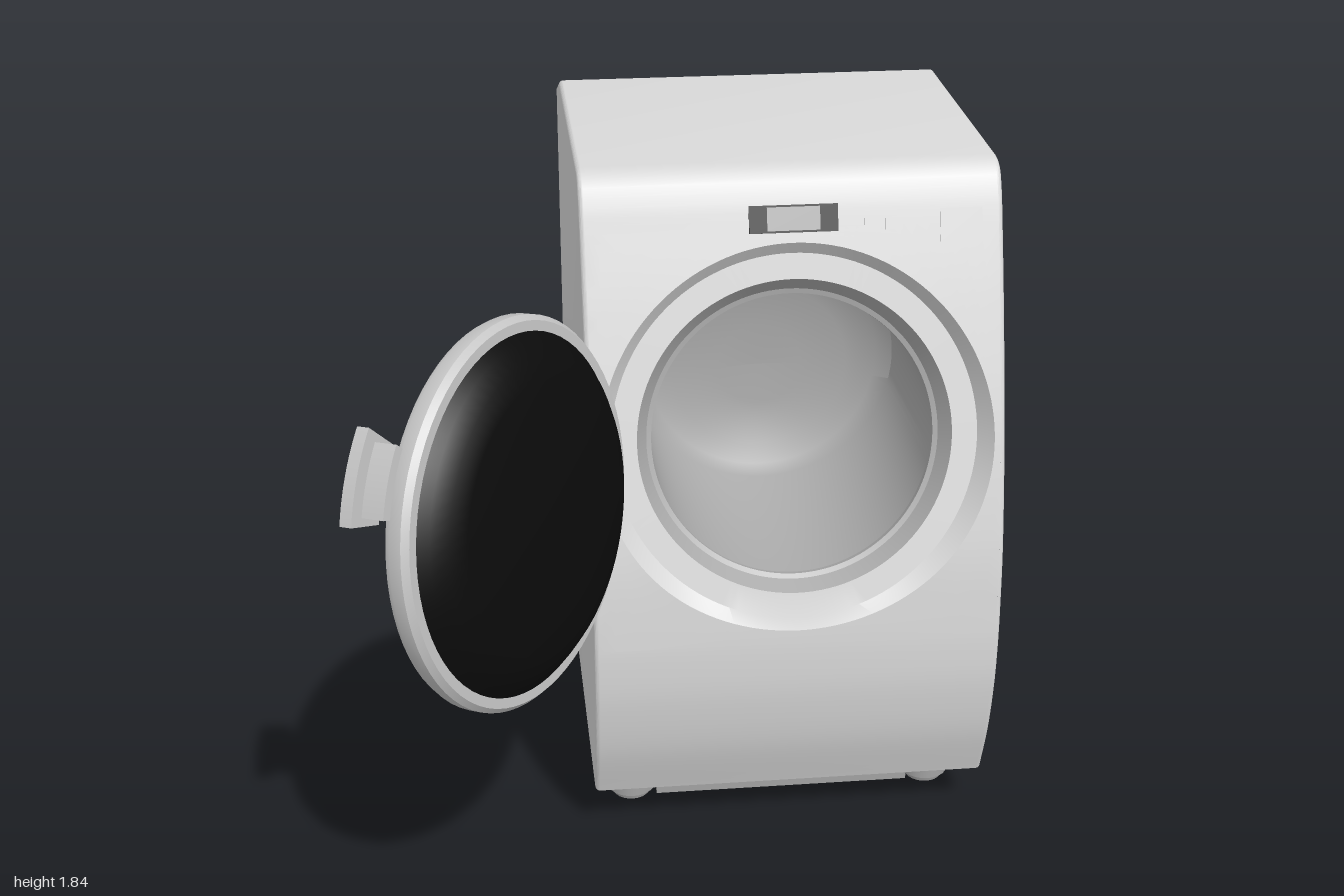
import * as THREE from 'three';
import { mergeGeometries, toCreasedNormals } from 'three/addons/utils/BufferGeometryUtils.js';

const CX = 0.2825;          // cabinet centre in x
const HALF = 0.53;          // half width of the cabinet without its rounded edge
const BEVEL = 0.0125;
const MID = 1.17;           // height of the door opening
const TILT = 0.28;          // backward lean of the opening
const N = 128;

const material = (name, color) => {
  const m = new THREE.MeshStandardMaterial({ color });
  m.name = name;
  return m;
};

function add(parent, name, geometry, mat, x = 0, y = 0, z = 0) {
  const mesh = new THREE.Mesh(geometry, mat);
  mesh.name = name;
  mesh.position.set(x, y, z);
  parent.add(mesh);
  return mesh;
}

// Front face: depth z at height y
const frontCurve = new THREE.SplineCurve([
  [0.14, 0.22], [0.3, 0.275], [0.45, 0.303], [0.57, 0.31], [0.7, 0.304], [0.9, 0.279],
  [1.2, 0.207], [1.5, 0.11], [1.7, 0.037], [1.78, 0.005],
].map(([y, z]) => new THREE.Vector2(y, z))).getPoints(200);

function frontZ(y) {
  let i = 1;
  while (i < frontCurve.length - 1 && frontCurve[i].x < y) i++;
  const a = frontCurve[i - 1], b = frontCurve[i];
  return a.y + (b.y - a.y) * (y - a.x) / (b.x - a.x);
}

// Closed loop of points from a rule of the angle
const loop = (rule) => Array.from({ length: N }, (_, i) => {
  const a = i / N * Math.PI * 2;
  return rule(Math.cos(a), Math.sin(a));
});

// Circle that leans back by the given angle
const circle = (r, y, z, tilt = 0) => loop((c, s) =>
  [CX + r * c, y + r * s * Math.cos(tilt), z - r * s * Math.sin(tilt)]);

// Skin between loops, listed from outside to inside
function loft(loops) {
  const index = [];
  for (let j = 0; j < loops.length - 1; j++) {
    for (let i = 0; i < N; i++) {
      const a = j * N + i, b = j * N + (i + 1) % N;
      index.push(a, b, a + N, b, b + N, a + N);
    }
  }
  const g = new THREE.BufferGeometry();
  g.setAttribute('position', new THREE.Float32BufferAttribute(loops.flat(2), 3));
  g.setIndex(index);
  return g.toNonIndexed();
}

// Point on the front panel: t = 0 on its square border, t = 1 on the round opening
const panelLoop = (t) => loop((c, s) => {
  const k = HALF / Math.max(Math.abs(c), Math.abs(s));
  const x = THREE.MathUtils.lerp(k * c, 0.514 * c, t);
  const y = MID + THREE.MathUtils.lerp(k * s, 0.495 * s, t);
  return [CX + x, y, frontZ(y)];
});

function cabinetGeometry() {
  // Side profile, extruded across the width
  const pts = [];
  for (let i = 0; i <= 81; i++) {
    const y = 0.14 + i * 0.02;
    pts.push([frontZ(y), y]);
  }
  pts.push([0, 1.785], [-0.012, 1.806], [-0.028, 1.823], [-0.05, 1.835], [-0.08, 1.84],
    [-0.85, 1.84], [-1, 1.78], [-1, 0.37], [-0.875, 0.3], [-0.875, 0.14]);
  const shell = new THREE.ExtrudeGeometry(new THREE.Shape(pts.map((p) => new THREE.Vector2(...p))), {
    depth: HALF * 2, bevelEnabled: true, bevelSize: BEVEL, bevelOffset: -BEVEL,
    bevelThickness: BEVEL, bevelSegments: 5,
  });
  shell.rotateY(-Math.PI / 2).translate(HALF, 0, 0);

  // Leave out the square that holds the round opening
  const p = shell.attributes.position, kept = [];
  for (let i = 0; i < p.count; i += 3) {
    const corners = [i, i + 1, i + 2];
    const inSquare = corners.every((v) => Math.abs(p.getX(v)) < HALF + 1e-4 && p.getZ(v) > 0
      && Math.abs(p.getY(v) - MID) < HALF + 1e-4);
    if (!inSquare) for (const v of corners) kept.push(p.getX(v) + CX, p.getY(v), p.getZ(v));
  }
  const rest = new THREE.BufferGeometry();
  rest.setAttribute('position', new THREE.Float32BufferAttribute(kept, 3));
  const panel = loft([0, 0.25, 0.5, 0.75, 1].map(panelLoop));
  return toCreasedNormals(mergeGeometries([rest, panel]), 0.37);
}

// Lathe whose axis points along z
const turned = (profile) => toCreasedNormals(
  new THREE.LatheGeometry(profile.map((q) => new THREE.Vector2(...q)), 72).rotateX(Math.PI / 2), 0.5);

// Curved bar along the door rim
function arcBar(r0, r1, from, to, z, depth) {
  const s = new THREE.Shape();
  s.absarc(0, 0, r1, from, to, false);
  s.absarc(0, 0, r0, to, from, true);
  return new THREE.ExtrudeGeometry(s, { depth, bevelEnabled: false, curveSegments: 12 }).translate(0, 0, z);
}

export function createModel() {
  const model = new THREE.Group();
  model.name = 'washingMachine';
  const white = material('cabinetGrey', 0xd8d8d8);
  const rimGrey = material('rimGrey', 0xc6c6c6);
  const drumGrey = material('drumGrey', 0xacacac);
  const baseGrey = material('baseGrey', 0xa2a2a2);
  const black = material('blackGlass', 0x0b0b0b);

  add(model, 'cabinet', cabinetGeometry(), white);

  // Recessed seat around the opening
  const sin = Math.sin(TILT), cos = Math.cos(TILT);
  const leaning = (r, depth) => circle(r, 1.168 - depth * sin, 0.16 - depth * cos, TILT);
  add(model, 'openingRecess', toCreasedNormals(
    loft([panelLoop(1), leaning(0.48, 0), leaning(0.413, 0)]), 0.3), white);
  add(model, 'openingSeal', toCreasedNormals(
    loft([leaning(0.413, 0), leaning(0.385, 0.045), leaning(0.372, 0.05), leaning(0.372, 0.07)]), 0.4), drumGrey);

  // Drum with a dished back
  add(model, 'drum', toCreasedNormals(loft([
    leaning(0.372, 0.07), circle(0.368, 1.135, -0.42), circle(0.33, 1.115, -0.47),
    circle(0.25, 1.08, -0.505), circle(0.12, 1.08, -0.52), circle(0.0005, 1.08, -0.525),
  ]), 0.6), drumGrey);

  // Plinth, notched at the corners for the feet
  const box = (w, h, d) => new THREE.BoxGeometry(w, h, d);
  const BZ = -0.3875;
  add(model, 'plinth', box(1.0, 0.075, 0.955), baseGrey, CX, 0.1025, BZ);
  add(model, 'plinthLowerLong', box(0.72, 0.037, 0.955), baseGrey, CX, 0.0465, BZ);
  add(model, 'plinthLowerWide', box(1.0, 0.037, 0.67), baseGrey, CX, 0.0465, BZ);
  for (const sx of [-1, 1]) {
    for (const sz of [-1, 1]) {
      const foot = new THREE.Group();
      foot.name = 'foot';
      foot.position.set(CX + sx * 0.427, 0, BZ + sz * 0.406);
      add(foot, 'footCollar', new THREE.CylinderGeometry(0.068, 0.068, 0.045, 24), baseGrey, 0, 0.0425, 0);
      add(foot, 'footPad', new THREE.CylinderGeometry(0.058, 0.052, 0.022, 24), baseGrey, 0, 0.011, 0);
      model.add(foot);
    }
  }

  // Control panel plates, laid on the sloping front
  const plate = (name, x, y, w, h, mat, d = 0.006) => {
    const m = add(model, name, box(w, h, d), mat, x, y, frontZ(y) + 0.001);
    m.rotation.x = -Math.atan((frontZ(y - 0.02) - frontZ(y + 0.02)) / 0.04);
  };
  plate('displayFrame', 0.283, 1.722, 0.228, 0.07, black);
  plate('displayScreen', 0.283, 1.722, 0.136, 0.06, drumGrey, 0.009);
  plate('leftButton', 0.485, 1.703, 0.042, 0.03, white);
  plate('rightButton', 0.54, 1.703, 0.042, 0.03, white);
  plate('powerButton', 0.715, 1.695, 0.11, 0.085, white);

  // Open door; its local z points out of the inner glass
  const door = new THREE.Group();
  door.name = 'door';
  door.position.set(-0.46, 1.215, 0.595);
  door.lookAt(-0.46 + 0.82, 1.215 + 0.12, 0.595 + 0.56);
  model.add(door);
  add(door, 'doorRim', turned([[0.43, -0.04], [0.452, -0.04], [0.468, -0.03], [0.475, -0.015],
    [0.475, 0.015], [0.462, 0.03], [0.437, 0.03]]), rimGrey);
  add(door, 'outerGlass', turned([[0, -0.043], [0.25, -0.042], [0.43, -0.038]]), black);
  add(door, 'innerGlass', turned([[0.437, 0.029], [0.415, 0.05], [0.38, 0.078], [0.33, 0.095],
    [0.2, 0.108], [0, 0.113]]), black);

  // Handle: stem on the rim with a wider grip
  const at = Math.PI - 0.56;
  add(door, 'handleStem', arcBar(0.435, 0.5, at - 0.17, at + 0.17, -0.075, 0.06), rimGrey);
  add(door, 'handleGrip', arcBar(0.435, 0.535, at - 0.21, at + 0.21, -0.105, 0.032), rimGrey);

  return model;
}
